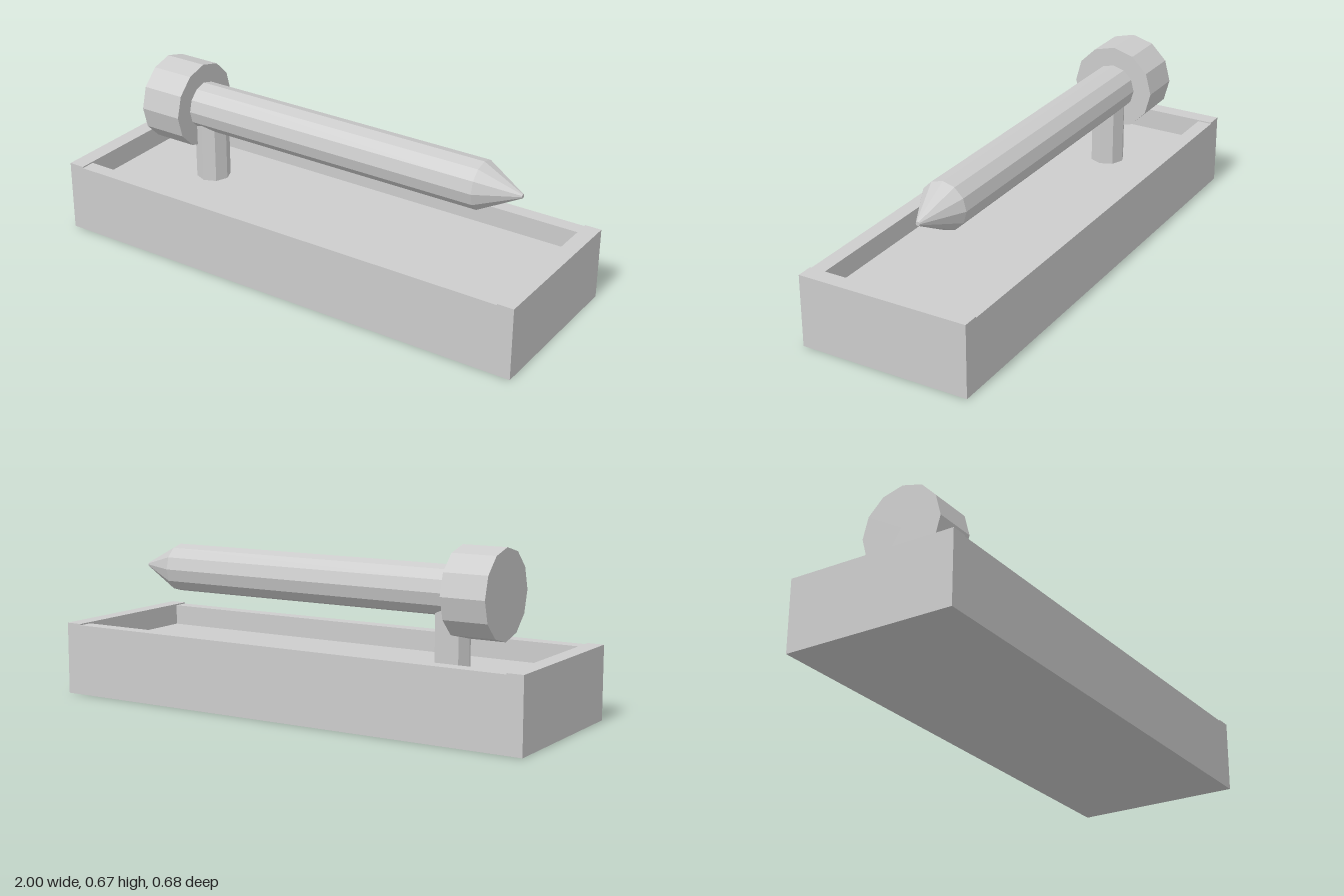
import * as THREE from 'three';

export function createModel() {
  const group = new THREE.Group();
  const grey = new THREE.MeshStandardMaterial({ color: 0xcccccc });
  grey.name = 'light grey';

  const add = (name, geometry, x, y, z) => {
    const mesh = new THREE.Mesh(geometry, grey);
    mesh.name = name;
    mesh.position.set(x, y, z);
    group.add(mesh);
    return mesh;
  };
  // faceted prism or cone frustum standing on y
  const prism = (rTop, rBottom, height, sides) => {
    const g = new THREE.CylinderGeometry(rTop, rBottom, height, sides).toNonIndexed();
    g.computeVertexNormals();
    return g;
  };

  // open tray: floor slab, long side rails, slightly taller end rails
  const floorY = 0.2, wall = 0.065, sideWall = 0.058;
  add('trayFloor', new THREE.BoxGeometry(2 - 2 * wall, floorY, 0.68 - 2 * sideWall), 0, floorY / 2, 0);
  for (const s of [-1, 1]) {
    add(s > 0 ? 'frontRail' : 'backRail',
      new THREE.BoxGeometry(2 - 2 * wall, 0.28, sideWall), 0, 0.14, s * (0.34 - sideWall / 2));
    add(s > 0 ? 'leftEndRail' : 'rightEndRail',
      new THREE.BoxGeometry(wall, 0.285, 0.68), s * (1 - wall / 2), 0.1425, 0);
  }

  // post holding the bolt
  const axisY = 0.5, axisZ = -0.04;
  add('post', prism(0.068, 0.068, 0.27, 8), -0.573, floorY + 0.135, axisZ);

  // horizontal bolt: head, shaft and pointed tip along +x
  const along = (name, rEnd, rStart, x0, x1) => {
    const mesh = add(name, prism(rEnd, rStart, x1 - x0, 12), (x0 + x1) / 2, axisY, axisZ);
    mesh.rotation.z = -Math.PI / 2;
  };
  along('head', 0.17, 0.17, -0.785, -0.608);
  along('shaft', 0.094, 0.094, -0.608, 0.66);
  along('tip', 0.008, 0.094, 0.66, 0.82);

  return group;
}
